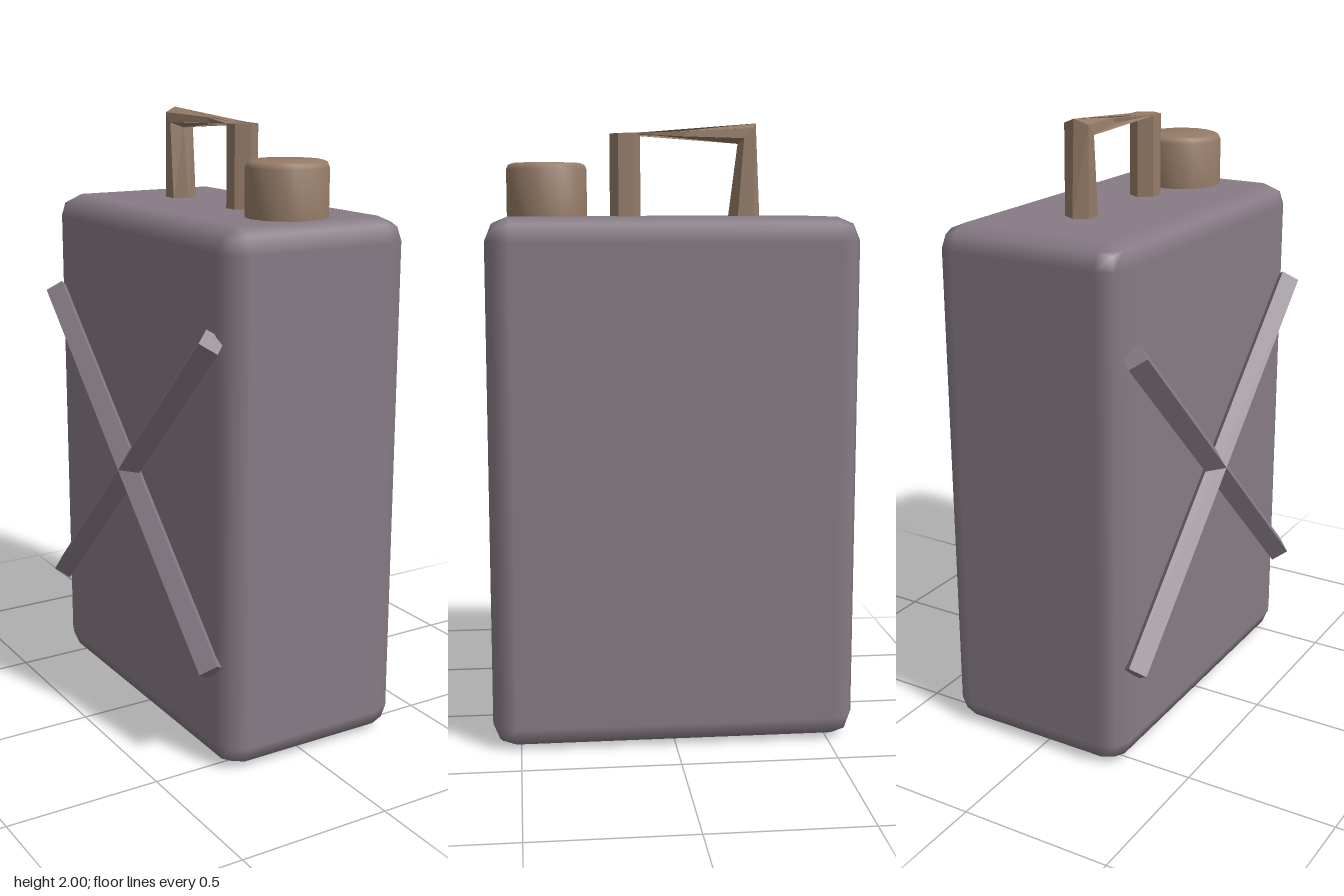
import * as THREE from 'three';
import { RoundedBoxGeometry } from 'three/addons/geometries/RoundedBoxGeometry.js';
import { toCreasedNormals } from 'three/addons/utils/BufferGeometryUtils.js';

const CX = 0.03; // middle of the can body

// Flat-shaded copy of a geometry
function faceted(geometry) {
  const flat = geometry.index ? geometry.toNonIndexed() : geometry;
  flat.computeVertexNormals();
  return flat;
}

// Hexagonal bar lofted through rings; each ring has a centre, a cross half-width sign and a fore-aft offset
function hexLoft(rings) {
  const sides = 6, pos = [], index = [];
  for (const { y, z, side, dy, dz } of rings) {
    for (let k = 0; k < sides; k++) {
      const t = (k / sides) * Math.PI * 2;
      pos.push(CX + side * 0.05 * Math.sin(t), y + dy * Math.cos(t), z + dz * Math.cos(t));
    }
  }
  for (let i = 0; i < rings.length - 1; i++) {
    for (let k = 0; k < sides; k++) {
      const n = (k + 1) % sides;
      const a = i * sides + k, b = i * sides + n, c = b + sides, d = a + sides;
      index.push(a, b, c, a, c, d);
    }
  }
  const g = new THREE.BufferGeometry();
  g.setAttribute('position', new THREE.Float32BufferAttribute(pos, 3));
  g.setIndex(index);
  return faceted(g);
}

export function createModel() {
  const group = new THREE.Group();
  const grey = new THREE.MeshStandardMaterial({ color: 0x877b85 });
  grey.name = 'mauveGrey';
  const brown = new THREE.MeshStandardMaterial({ color: 0x957b67, side: THREE.DoubleSide });
  brown.name = 'brown';

  const add = (name, geometry, material) => {
    const mesh = new THREE.Mesh(geometry, material);
    mesh.name = name;
    group.add(mesh);
    return mesh;
  };

  // Can body with a two-step rounded edge
  add('body', new RoundedBoxGeometry(0.65, 1.7, 1.18, 1, 0.075), grey).position.set(CX, 0.85, 0);

  // Screw cap with a small bevel
  const profile = [[0.13, 0], [0.13, 0.15], [0.124, 0.164], [0.11, 0.17], [0, 0.17]];
  const cap = new THREE.LatheGeometry(profile.map(([r, y]) => new THREE.Vector2(r, y)), 16);
  add('cap', toCreasedNormals(cap, 0.9), brown).position.set(CX, 1.7, 0.39);

  // Carrying handle: straight front post, twisted grip, rear post
  add('handle', hexLoft([
    { y: 1.69, z: 0.135, side: 1, dy: 0, dz: 0.05 },
    { y: 1.965, z: 0.135, side: 1, dy: 0, dz: 0.05 },
    { y: 1.967, z: -0.265, side: -1, dy: -0.033, dz: 0.03 },
    { y: 1.69, z: -0.257, side: -1, dy: 0, dz: 0.053 },
  ]), brown);

  // Crossed diamond-section ribs on the right side
  const halfZ = 0.525, halfY = 0.52;
  for (const s of [1, -1]) {
    const rib = faceted(new THREE.CylinderGeometry(0.045, 0.045, 2 * Math.hypot(halfZ, halfY), 4));
    const mesh = add(s > 0 ? 'risingRib' : 'fallingRib', rib, grey);
    mesh.position.set(-0.315, 0.853, 0);
    mesh.rotation.x = s * Math.atan2(halfZ, halfY);
  }

  return group;
}
